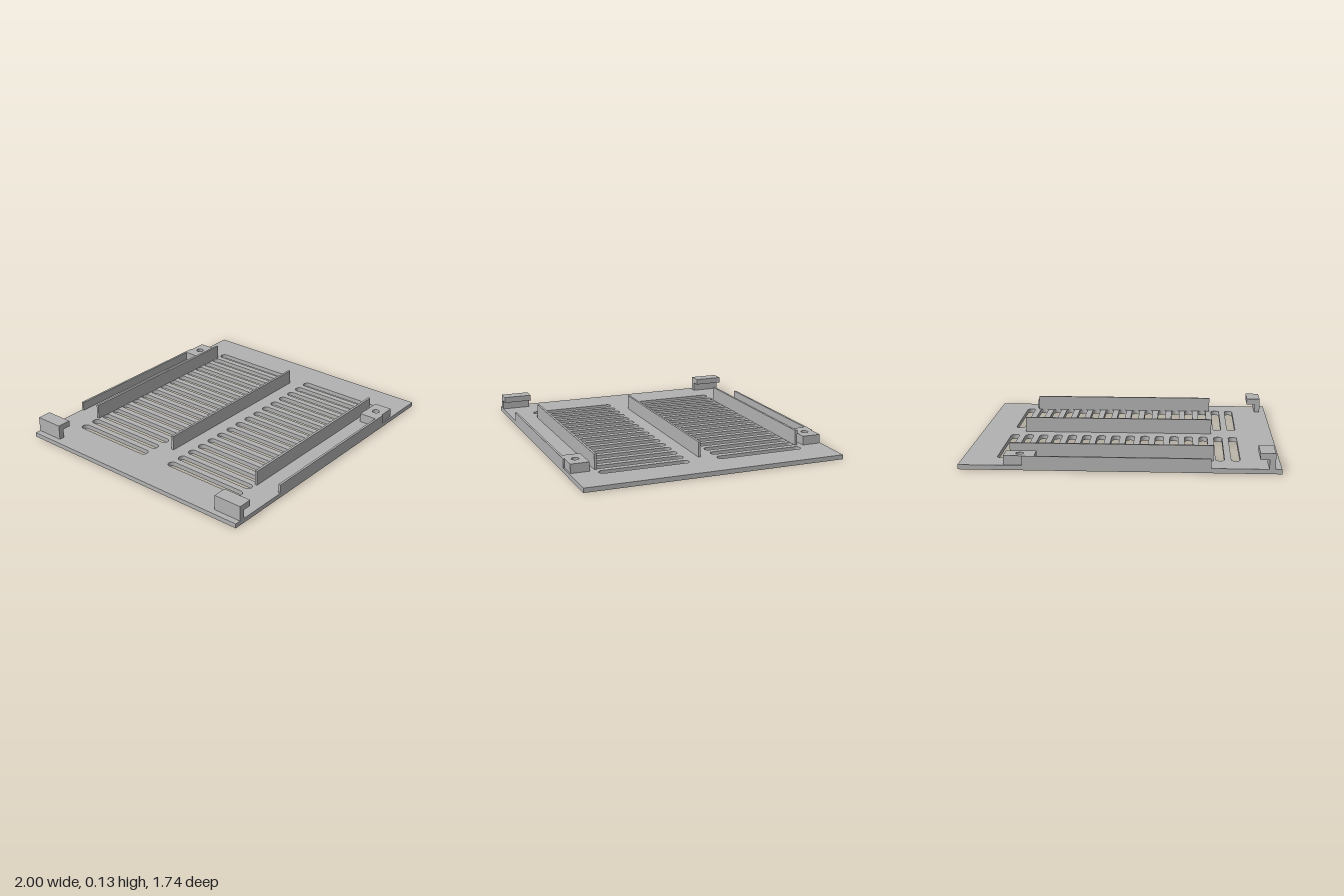
import * as THREE from 'three';

export function createModel() {
  const group = new THREE.Group();
  const grey = new THREE.MeshStandardMaterial({ color: 0xb2b2b2 });
  grey.name = 'grey';

  const add = (name, geometry) => {
    const mesh = new THREE.Mesh(geometry, grey);
    mesh.name = name;
    group.add(mesh);
    return mesh;
  };
  const box = (name, x0, x1, y0, y1, z0, z1) => {
    const mesh = add(name, new THREE.BoxGeometry(x1 - x0, y1 - y0, z1 - z0));
    mesh.position.set((x0 + x1) / 2, (y0 + y1) / 2, (z0 + z1) / 2);
  };
  const rect = (x0, x1, z0, z1) => new THREE.Shape([
    new THREE.Vector2(x0, z0), new THREE.Vector2(x1, z0),
    new THREE.Vector2(x1, z1), new THREE.Vector2(x0, z1),
  ]);
  const hole = (x, z, r) => new THREE.Path().absarc(x, z, r, 0, Math.PI * 2, true);
  // Upright extrusion of a plan drawn in x and z (plans are symmetric front to back)
  const slab = (name, shape, y0, y1) => {
    const geometry = new THREE.ExtrudeGeometry(shape, { depth: y1 - y0, bevelEnabled: false, curveSegments: 16 });
    geometry.rotateX(-Math.PI / 2);
    geometry.translate(0, y0, 0);
    add(name, geometry);
  };

  const base = 0.03, ledge = 0.09, top = 0.13, edge = 0.87;
  const holeX = 0.622, holeZ = 0.8;

  // Base plate with two rows of rounded slots and two screw recesses
  const plate = rect(-1, 1, -edge, edge);
  const r = 0.028;
  for (const side of [-1, 1]) {
    const z0 = side > 0 ? 0.097 : -0.694;
    const z1 = z0 + 0.597;
    for (let i = 0; i < 16; i++) {
      const x = -0.726 + i * 0.0989;
      const slot = new THREE.Path();
      slot.absarc(x, z0 + r, r, Math.PI, Math.PI * 2, false);
      slot.absarc(x, z1 - r, r, 0, Math.PI, false);
      slot.closePath();
      plate.holes.push(slot);
    }
    plate.holes.push(hole(holeX, side * holeZ, 0.037));
  }
  slab('ventPlate', plate, 0, base);

  // Three long ribs
  for (const z of [-0.694, 0, 0.694]) box('rib', -0.585, 0.7, base, top, z - 0.008, z + 0.008);

  for (const side of [-1, 1]) {
    const span = (a, b) => (side > 0 ? [a, b] : [-b, -a]);

    // Low wall along the plate edge
    box('edgeWall', -0.568, 0.6, base, ledge, ...span(0.855, edge));

    // Screw block with a through hole
    const block = rect(0.525, 0.717, ...span(0.737, 0.861));
    block.holes.push(hole(holeX, side * holeZ, 0.024));
    slab('screwBlock', block, base, ledge);

    // Hooked clip at the corner
    const hook = new THREE.Shape([
      [-0.96, base], [-0.922, base], [-0.922, ledge], [-0.865, ledge], [-0.865, top], [-0.96, top],
    ].map(([x, y]) => new THREE.Vector2(x, y)));
    const clip = new THREE.ExtrudeGeometry(hook, { depth: 0.195, bevelEnabled: false });
    clip.translate(0, 0, span(0.675, edge)[0]);
    add('hookClip', clip);
  }
  return group;
}
